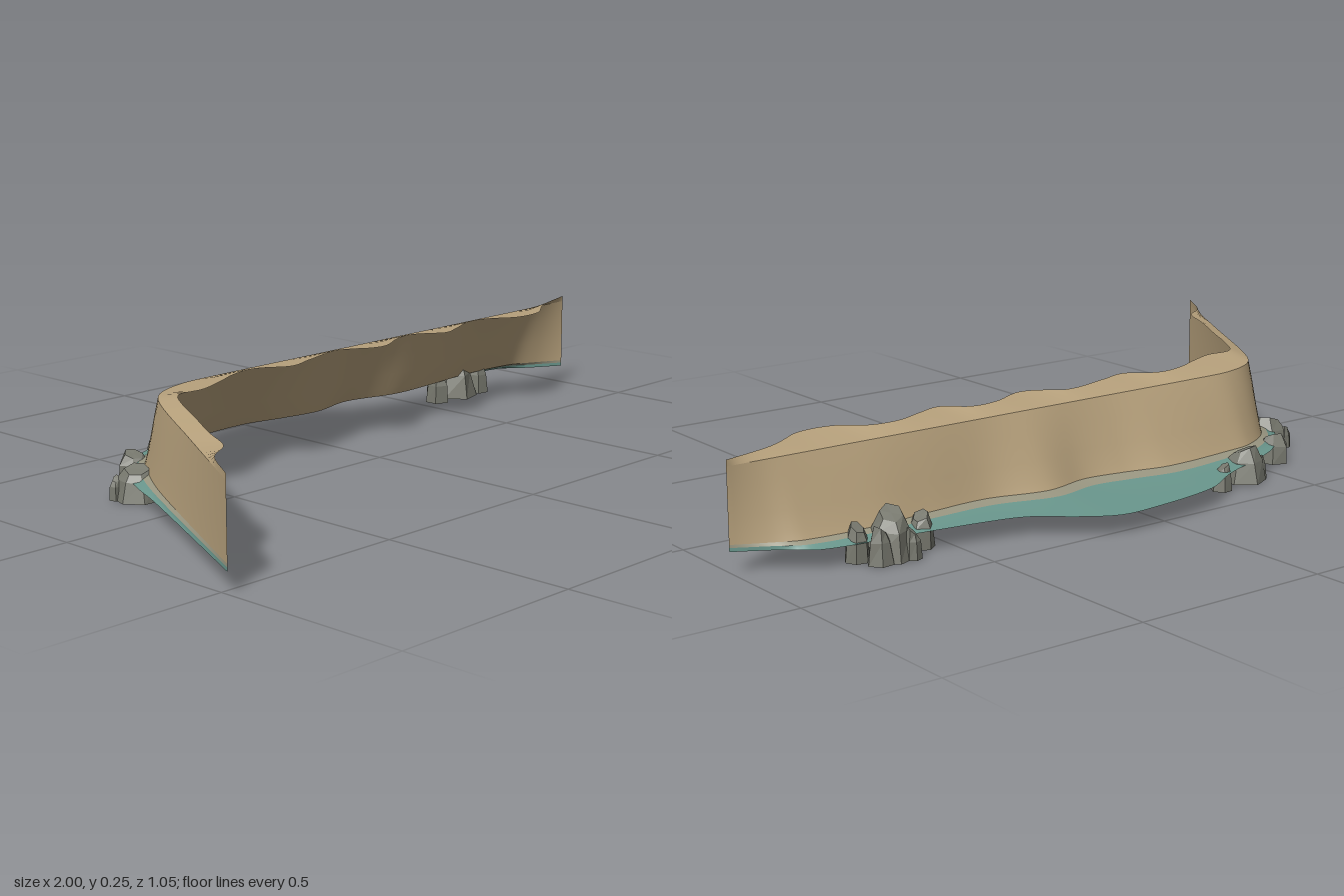
import * as THREE from 'three';

// Plan outlines of the coast as [x, z] points, ordered from the right tip to the left tip.
const INNER = [[-1, .52], [-.93, .41], [-.85, .35], [-.8, .25], [-.72, .11], [-.665, .01], [-.61, -.065],
  [-.53, -.07], [-.45, -.1], [-.37, -.135], [-.29, -.145], [-.21, -.1], [-.13, -.12], [.01, -.15], [.08, -.108],
  [.13, -.1], [.22, -.14], [.3, -.145], [.36, -.1], [.43, -.12], [.51, -.15], [.59, -.145], [.655, -.1],
  [.75, -.1], [.83, -.15], [.88, -.175], [1, -.21]];
const CREST = [[-1, .52], [-.82, .205], [-.655, -.08], [-.585, -.16], [-.48, -.203], [-.35, -.21], [0, -.21], [1, -.21]];
const FOOT = [[-1, .52], [-.75, .03], [-.66, -.12], [-.58, -.225], [-.48, -.285], [-.4, -.3], [-.18, -.315],
  [-.05, -.29], [.06, -.277], [.19, -.303], [.35, -.268], [.51, -.275], [.67, -.29], [.85, -.28], [.92, -.25], [1, -.21]];
const SHORE = [[-1, .52], [-.76, .03], [-.675, -.125], [-.595, -.235], [-.49, -.305], [-.4, -.325], [-.18, -.35],
  [-.05, -.33], [.06, -.315], [.19, -.338], [.35, -.3], [.51, -.3], [.67, -.31], [.85, -.295], [.92, -.255], [1, -.21]];
const WATER = [[-1, .52], [-.77, .03], [-.7, -.13], [-.61, -.25], [-.505, -.33], [-.29, -.417], [-.16, -.487],
  [.08, -.524], [.16, -.518], [.24, -.47], [.32, -.406], [.4, -.38], [.62, -.347], [.83, -.32], [.91, -.262], [1, -.21]];

// Smooth z(x) through an outline
function depthAt(line, x) {
  let i = 0;
  while (i < line.length - 2 && x > line[i + 1][0]) i++;
  const slope = k => {
    const a = line[Math.max(k - 1, 0)], b = line[Math.min(k + 1, line.length - 1)];
    return (b[1] - a[1]) / (b[0] - a[0]);
  };
  const [x0, z0] = line[i], [x1, z1] = line[i + 1];
  const w = x1 - x0, t = (x - x0) / w, t2 = t * t, t3 = t2 * t;
  return (2 * t3 - 3 * t2 + 1) * z0 + (t3 - 2 * t2 + t) * w * slope(i)
    + (3 * t2 - 2 * t3) * z1 + (t3 - t2) * w * slope(i + 1);
}

// Surface between an inner and an outer outline; rows are [blend, height]
function band(inner, outer, rows) {
  const N = 160, pos = [], idx = [], n = rows.length;
  for (let i = 0; i <= N; i++) {
    const x = -1 + 2 * i / N, a = depthAt(inner, x), b = depthAt(outer, x);
    for (const [t, y] of rows) pos.push(x, y, a + (b - a) * t);
  }
  for (let i = 0; i < N; i++) {
    for (let j = 0; j < n - 1; j++) {
      const a = i * n + j, b = a + 1, c = a + n, d = c + 1;
      idx.push(a, c, b, b, c, d);
    }
  }
  const g = new THREE.BufferGeometry();
  g.setAttribute('position', new THREE.Float32BufferAttribute(pos, 3));
  g.setIndex(idx);
  g.computeVertexNormals();
  return g;
}

// Chiselled boulder: a tapered six-sided block with uneven corners and a tilted top
function boulder(r, h, seed) {
  const g = new THREE.CylinderGeometry(r * .5, r, h, 6, 2);
  const p = g.attributes.position;
  for (let i = 0; i < p.count; i++) {
    const x = p.getX(i), y = p.getY(i) / h + .5, z = p.getZ(i);
    const k = (1 + .14 * Math.sin(3 * x / r + 5 * z / r + seed * 2.3)) * (y > .4 && y < .6 ? 1.1 : 1);
    const tilt = y > .9 ? .25 * (x * Math.cos(seed) + z * Math.sin(seed)) / r : 0;
    const lift = y > .4 && y < .6 ? .14 : 0;
    p.setXYZ(i, x * k, h * (y * .93 + tilt + lift), z * k);
  }
  g.rotateY(seed * 1.7);
  return g;
}

export function createModel() {
  const model = new THREE.Group();
  model.name = 'coastalCliff';
  const material = (name, color, extra) => Object.assign(new THREE.MeshStandardMaterial({ color, ...extra }), { name });
  const open = { side: THREE.DoubleSide };
  const sandstone = material('sandstone', 0xb8a27d, open);
  const wetSand = material('wetSand', 0x9a9782, open);
  const sea = material('sea', 0x6a978d, open);
  const stone = material('stone', 0x77786e, { flatShading: true });

  const add = (name, geometry, mat, parent = model) => {
    const mesh = new THREE.Mesh(geometry, mat);
    mesh.name = name;
    parent.add(mesh);
    return mesh;
  };

  // Ground layers from the wavy inland edge out to the sea
  add('clifftop', band(INNER, CREST, [[0, .255], [1, .24]]), sandstone);
  add('cliffFace', band(CREST, FOOT, [[0, .24], [.3, .19], [.62, .128], [.86, .085], [1, .064]]), sandstone);
  add('shoreline', band(FOOT, SHORE, [[0, .064], [1, .057]]), wetSand);
  add('shallowWater', band(SHORE, WATER, [[0, .057], [.4, .051], [1, .048]]), sea);

  // Boulders at the foot: x, z, radius, height
  const rocks = new THREE.Group();
  rocks.name = 'boulders';
  model.add(rocks);
  [
    [-.67, -.15, .056, .08], [-.575, -.275, .042, .075], [-.395, -.355, .052, .085], [-.29, -.39, .028, .065],
    [.565, -.31, .038, .08], [.655, -.325, .06, .108], [.735, -.31, .032, .085],
    [.63, -.372, .02, .07], [.705, -.355, .03, .085],
    [-.705, -.185, .018, .055], [-.435, -.37, .016, .06],
  ].forEach(([x, z, r, h], i) => {
    add('boulder' + (i + 1), boulder(r, h, i + 1), stone, rocks).position.set(x, 0, z);
  });
  return model;
}
